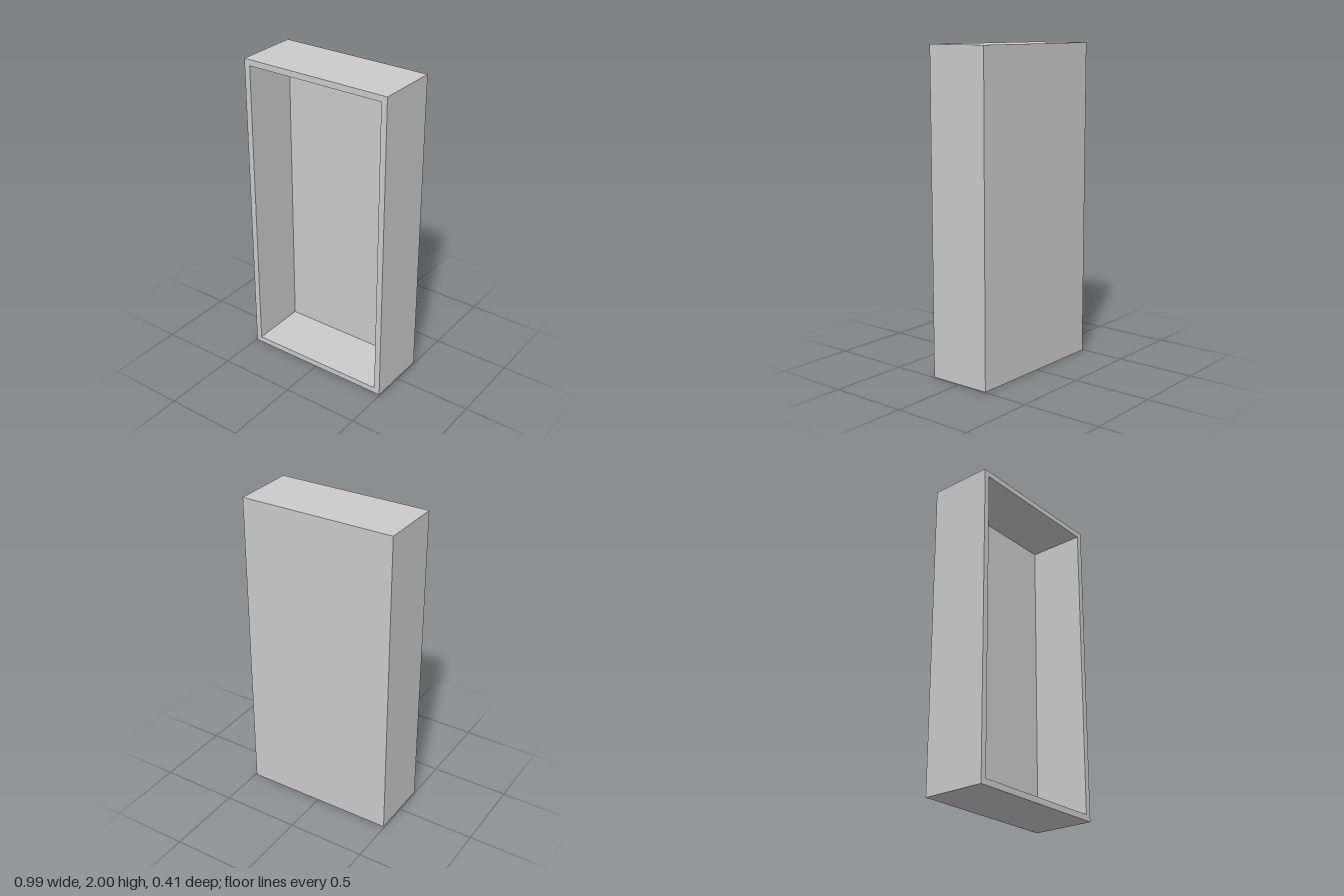
import * as THREE from 'three';

const W = 0.988, H = 2, D = 0.405; // outer size
const T = 0.038;                   // wall thickness

// Rectangle of four corners, counter-clockwise seen from the front
function ring(inset, z) {
  const x = W / 2 - inset, lo = inset, hi = H - inset;
  return [[-x, lo, z], [x, lo, z], [x, hi, z], [-x, hi, z]];
}

// Open-fronted case: a seamless skin over the outside, rim and recess
function caseGeometry() {
  const rings = [
    ring(0, -D / 2),     // back outline
    ring(0, D / 2),      // front outline
    ring(T, D / 2),      // inner edge of the rim
    ring(T, -D / 2 + T), // recess floor
  ];
  const positions = [];
  const quad = (a, b, c, d) => positions.push(...a, ...b, ...c, ...a, ...c, ...d);

  for (let i = 0; i < rings.length - 1; i++) {
    for (let j = 0; j < 4; j++) {
      const k = (j + 1) % 4;
      quad(rings[i][j], rings[i][k], rings[i + 1][k], rings[i + 1][j]);
    }
  }
  quad(...rings[3]);                // recess floor, facing forward
  quad(...[...rings[0]].reverse()); // back panel, facing backward

  const geometry = new THREE.BufferGeometry();
  geometry.setAttribute('position', new THREE.Float32BufferAttribute(positions, 3));
  geometry.computeVertexNormals();
  return geometry;
}

export function createModel() {
  const group = new THREE.Group();
  group.name = 'openCabinet';
  const material = new THREE.MeshStandardMaterial({ color: 0xcccccc, flatShading: true });
  const body = new THREE.Mesh(caseGeometry(), material);
  body.name = 'cabinetCase';
  group.add(body);
  return group;
}
